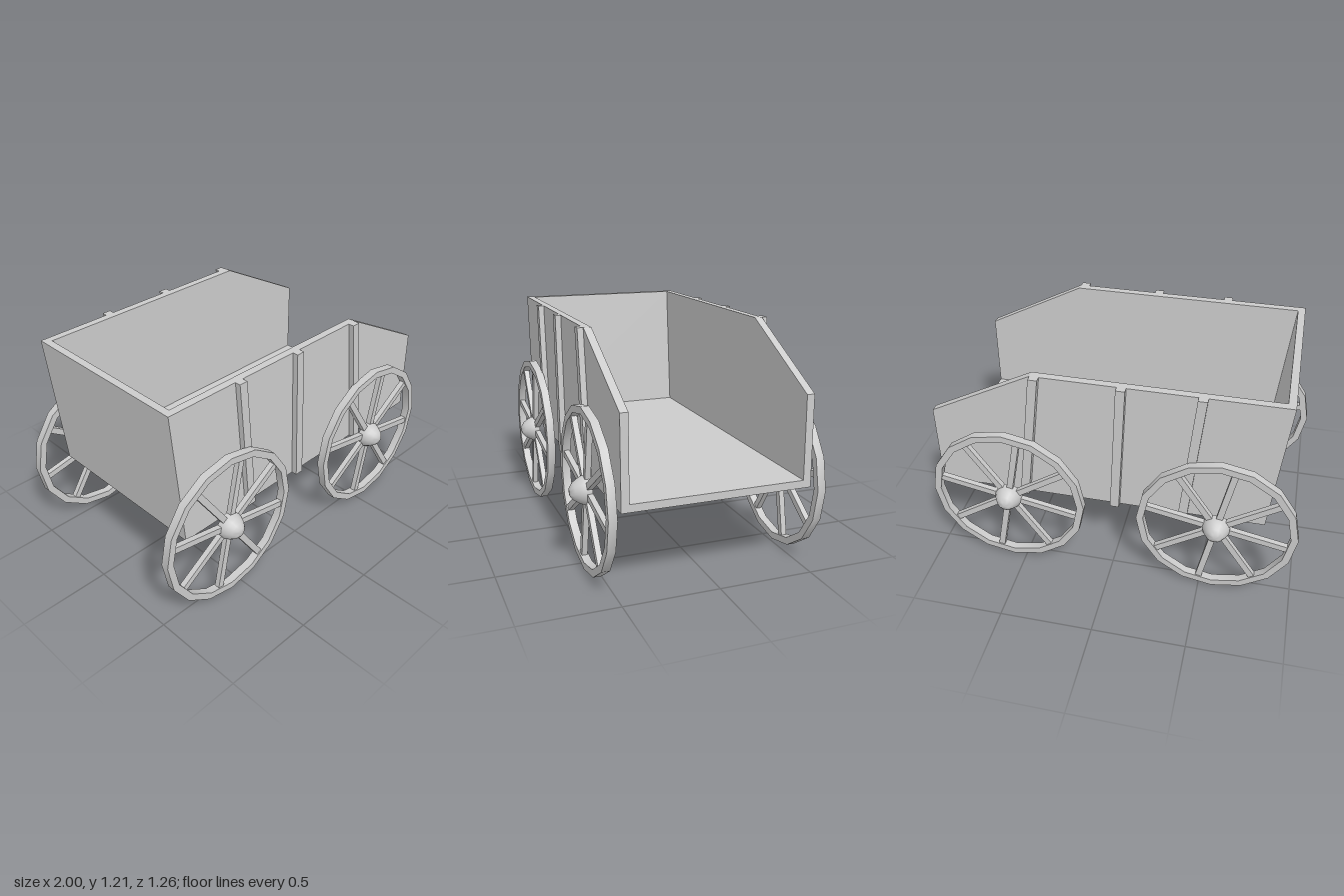
import * as THREE from 'three';
import { toCreasedNormals } from 'three/addons/utils/BufferGeometryUtils.js';

const material = new THREE.MeshStandardMaterial({ color: 0xcccccc });

function addMesh(parent, geometry, name) {
  const mesh = new THREE.Mesh(geometry, material);
  mesh.name = name;
  parent.add(mesh);
  return mesh;
}

// Extrudes an x-y outline from z0 to z1
function slab(points, z0, z1) {
  const shape = new THREE.Shape(points.map(([x, y]) => new THREE.Vector2(x, y)));
  return new THREE.ExtrudeGeometry(shape, { depth: z1 - z0, bevelEnabled: false }).translate(0, 0, z0);
}

// Revolves an [r, z] profile about the z axis
function turned(profile) {
  const geometry = new THREE.LatheGeometry(profile.map(([r, z]) => new THREE.Vector2(r, z)), 16);
  return toCreasedNormals(geometry.rotateX(Math.PI / 2), 0.7);
}

// Wheel facing +z, with its depth centred on z = 0
function createWheel() {
  const wheel = new THREE.Group();
  const outer = 0.428, inner = 0.39, half = 0.022;
  addMesh(wheel, turned([
    [outer, -half], [outer, half], [inner, half], [inner, -half], [outer, -half],
  ]), 'rim');

  for (let i = 0; i < 8; i++) {
    const geometry = new THREE.BoxGeometry(0.386, 0.034, 0.03).translate(0.193, 0, 0);
    addMesh(wheel, geometry, 'spoke').rotation.z = Math.PI * (3 / 16 + i / 4);
  }

  // Domed cap on the outer side only
  addMesh(wheel, turned([
    [0, -0.013], [0.073, -0.013], [0.073, 0.02], [0.06, 0.045], [0.045, 0.068], [0.025, 0.084], [0, 0.089],
  ]), 'hub');
  return wheel;
}

export function createModel() {
  const cart = new THREE.Group();
  cart.name = 'cart';

  // Floor and sloping end wall; the +x end stays open
  addMesh(cart, slab([
    [-0.82, 0.45], [0.97, 0.45], [0.97, 0.49], [-0.78, 0.49], [-0.85, 1.21], [-0.89, 1.21],
  ], -0.45, 0.45), 'floorAndEndWall');

  const sideOutline = [[-0.82, 0.45], [0.97, 0.45], [0.962, 0.92], [0.41, 1.21], [-0.89, 1.21]];
  // Left edge of each rib at the bottom and at the top
  const ribs = [[-0.41, -0.48], [-0.042, -0.08], [0.46, 0.36]];
  const ribWidth = 0.048;

  for (const side of [1, -1]) {
    const place = (a, b) => (side > 0 ? [a, b] : [-b, -a]);
    addMesh(cart, slab(sideOutline, ...place(0.45, 0.491)), 'sidePanel');
    for (const [bottom, top] of ribs) {
      addMesh(cart, slab([
        [bottom, 0.45], [bottom + ribWidth, 0.45], [top + ribWidth, 1.21], [top, 1.21],
      ], ...place(0.491, 0.522)), 'sideRib');
    }

    for (const x of [-0.572, 0.572]) {
      const wheel = createWheel();
      wheel.name = 'wheel';
      wheel.position.set(x, 0.43, side * 0.539);
      wheel.rotation.y = side > 0 ? 0 : Math.PI;
      cart.add(wheel);
    }
  }
  return cart;
}
